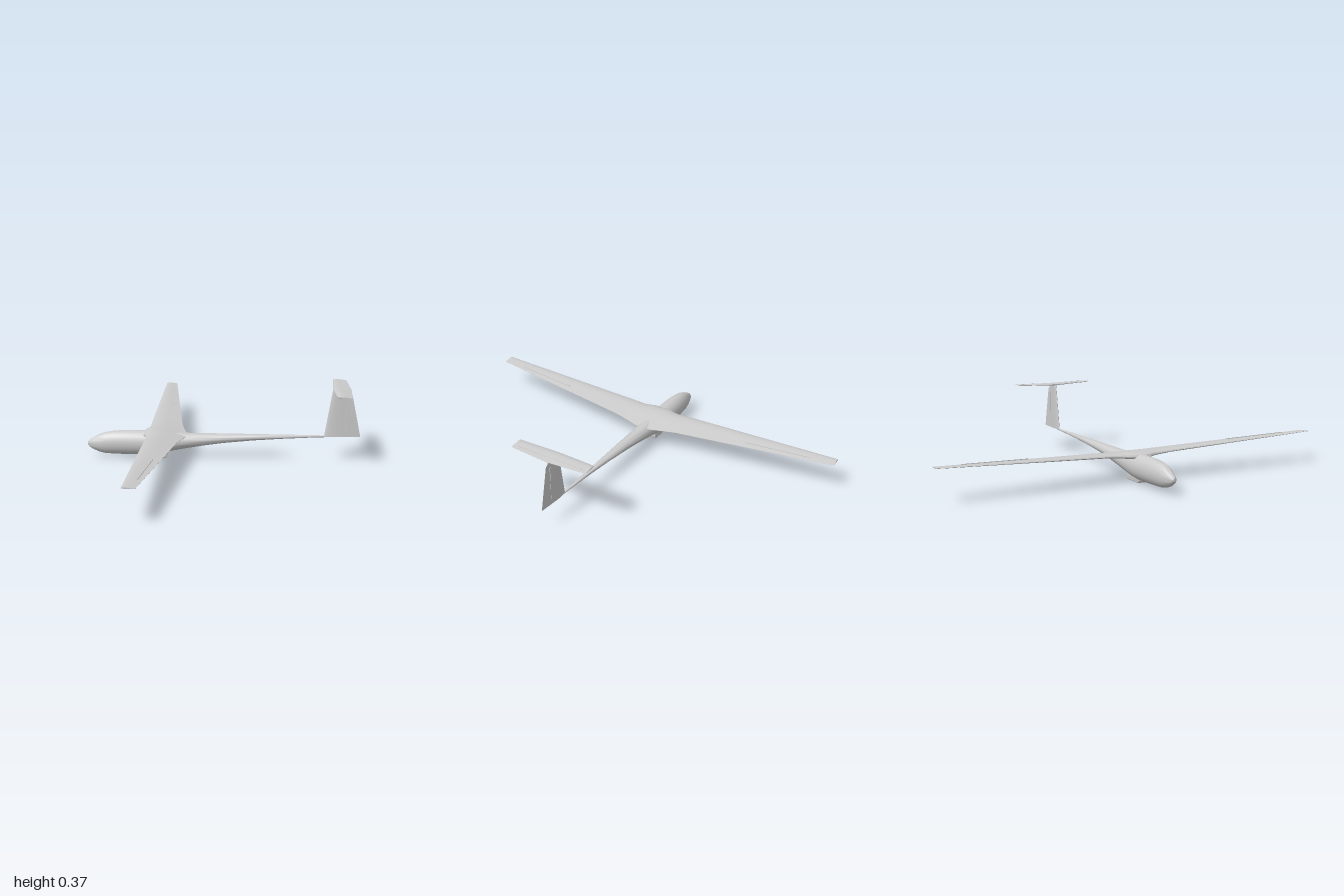
import * as THREE from 'three';
import { toCreasedNormals } from 'three/addons/utils/BufferGeometryUtils.js';

const material = new THREE.MeshStandardMaterial({ color: 0xcccccc });
const lerp = THREE.MathUtils.lerp;

// Skin a row of closed rings (arrays of [x, y, z]) and cap both ends
function loft(rings, crease = 0.6) {
  const n = rings[0].length, pos = rings.flat(2), idx = [];
  for (let r = 0; r < rings.length - 1; r++) {
    for (let i = 0; i < n; i++) {
      const a = r * n + i, b = r * n + (i + 1) % n;
      idx.push(a, b, a + n, b, b + n, a + n);
    }
  }
  const last = (rings.length - 1) * n;
  for (let i = 1; i < n - 1; i++) {
    idx.push(0, i + 1, i, last, last + i, last + i + 1);
  }
  // Signed volume tells whether the faces point outward
  const v = (k) => new THREE.Vector3().fromArray(pos, idx[k] * 3);
  let volume = 0;
  for (let k = 0; k < idx.length; k += 3) volume += v(k).dot(v(k + 1).cross(v(k + 2)));
  if (volume < 0) idx.reverse();
  const geo = new THREE.BufferGeometry();
  geo.setAttribute('position', new THREE.Float32BufferAttribute(pos, 3));
  geo.setIndex(idx);
  return toCreasedNormals(geo, crease);
}

// Aerofoil outlines: chord fraction, height as a share of thickness
const upper = [[0, 0], [0.02, 0.25], [0.08, 0.45], [0.2, 0.6], [0.35, 0.62], [0.55, 0.46], [0.8, 0.2], [1, 0.03]];
const lower = [[1, -0.03], [0.75, -0.15], [0.45, -0.3], [0.2, -0.36], [0.08, -0.28], [0.02, -0.15]];
const cambered = [...upper, ...lower];
const symmetric = [...upper, ...upper.slice(1).reverse().map(([u, h]) => [u, -h])];

// Section: z, leading x, trailing x, leading y, trailing y, thickness
const wingRing = ([z, x0, x1, y0, y1, t], foil = cambered) =>
  foil.map(([u, h]) => [lerp(x0, x1, u), lerp(y0, y1, u) + t * h, z]);
const mix = (a, b, k) => a.map((v, i) => lerp(v, b[i], k));

export function createModel() {
  const group = new THREE.Group();
  const add = (name, geo) => {
    const mesh = new THREE.Mesh(geo, material);
    mesh.name = name;
    group.add(mesh);
    return mesh;
  };

  // Fuselage stations: x, bottom, top, half width
  const stations = [
    [-0.69, 0.063, 0.077, 0.006], [-0.68, 0.05, 0.088, 0.015], [-0.66, 0.037, 0.1, 0.023],
    [-0.63, 0.025, 0.116, 0.032], [-0.6, 0.018, 0.127, 0.038], [-0.56, 0.016, 0.134, 0.043],
    [-0.5, 0.014, 0.138, 0.048], [-0.4, 0.013, 0.138, 0.051], [-0.34, 0.019, 0.136, 0.049],
    [-0.28, 0.031, 0.131, 0.046], [-0.2, 0.047, 0.127, 0.041], [-0.1, 0.064, 0.126, 0.036],
    [0, 0.078, 0.126, 0.03], [0.15, 0.093, 0.125, 0.021], [0.3, 0.103, 0.124, 0.013],
    [0.45, 0.111, 0.123, 0.008], [0.56, 0.115, 0.122, 0.004],
  ];
  add('fuselage', loft(stations.map(([x, b, t, w]) =>
    Array.from({ length: 28 }, (_, i) => {
      const a = (i / 28) * Math.PI * 2;
      return [x, (t + b) / 2 + Math.sin(a) * (t - b) / 2, Math.cos(a) * w];
    }))));

  // One-piece wing with a widened root and gentle dihedral
  const inner = [0.18, -0.38, -0.222, 0.135, 0.125, 0.021];
  const tip = [1, -0.38, -0.32, 0.164, 0.161, 0.006];
  const half = [
    [0, -0.4, -0.188, 0.126, 0.116, 0.036],
    [0.045, -0.4, -0.19, 0.126, 0.116, 0.035],
    [0.075, -0.386, -0.198, 0.128, 0.118, 0.031],
    [0.11, -0.38, -0.207, 0.13, 0.12, 0.026],
    inner, mix(inner, tip, 0.5), tip,
  ];
  const mirrored = half.slice(1).reverse().map(([z, ...rest]) => [-z, ...rest]);
  add('wing', loft([...mirrored, ...half].map((s) => wingRing(s))));

  // Narrow aileron hinge strips on the upper wing skin
  const hinge = [[0.67, 0.2], [0.67, 0.42], [0.72, 0.37], [0.72, 0.15]];
  const stripEnds = [0.54, 0.87].map((z) => {
    const s = mix(inner, tip, (z - 0.18) / 0.82);
    return wingRing(s, hinge).map(([x, y, zz], i) => [x, y + (i === 1 || i === 2 ? 0.002 : 0), zz]);
  });
  for (const side of [1, -1]) {
    add(side > 0 ? 'frontAileronStrip' : 'rearAileronStrip',
      loft(stripEnds.map((ring) => ring.map(([x, y, z]) => [x, y, z * side])), 0.3));
  }

  // Fin sections: y, leading x, trailing x, thickness
  const fin = [[0.117, 0.505, 0.687, 0.013], [0.2, 0.519, 0.67, 0.012],
    [0.328, 0.54, 0.643, 0.01], [0.345, 0.543, 0.626, 0.01], [0.358, 0.546, 0.612, 0.009]];
  add('fin', loft(fin.map(([y, x0, x1, t]) =>
    symmetric.map(([u, h]) => [lerp(x0, x1, u), y, t * h]))));

  // Rudder hinge strip showing on both faces of the fin
  const rudder = add('rudderStrip', new THREE.BoxGeometry(0.007, 0.175, 0.011));
  rudder.position.set(0.615, 0.228, 0);

  // Tailplane on top of the fin
  const tail = [[-0.206, 0.56, 0.622, 0.366, 0.363, 0.005], [-0.2, 0.556, 0.626, 0.365, 0.362, 0.007],
    [0, 0.545, 0.637, 0.36, 0.357, 0.014]];
  const tailOther = tail.slice(0, 2).reverse().map(([z, ...rest]) => [-z, ...rest]);
  add('tailplane', loft([...tail, ...tailOther].map((s) => wingRing(s))));

  // Elevator hinge strip, split at the centre to follow the tailplane
  const elevator = [-0.18, 0, 0.18].map((z) => {
    const y = lerp(0.3635, 0.3665, Math.abs(z) / 0.18);
    return [[0.602, y - 0.003, z], [0.602, y, z], [0.608, y - 0.0005, z], [0.608, y - 0.003, z]];
  });
  add('elevatorStrip', loft(elevator, 0.3));

  // Wheel fairing under the belly with rounded lower corners
  const outline = new THREE.Shape();
  outline.moveTo(-0.4, 0.05);
  outline.lineTo(-0.4, 0.012);
  outline.quadraticCurveTo(-0.4, 0.004, -0.392, 0.004);
  outline.lineTo(-0.298, 0.004);
  outline.quadraticCurveTo(-0.29, 0.004, -0.29, 0.012);
  outline.lineTo(-0.29, 0.05);
  outline.closePath();
  const fairing = new THREE.ExtrudeGeometry(outline, {
    depth: 0.036, bevelEnabled: true, bevelSize: 0.004, bevelThickness: 0.004, bevelSegments: 3, curveSegments: 6,
  });
  fairing.translate(0, 0, -0.018);
  add('wheelFairing', toCreasedNormals(fairing, 0.6));

  return group;
}
